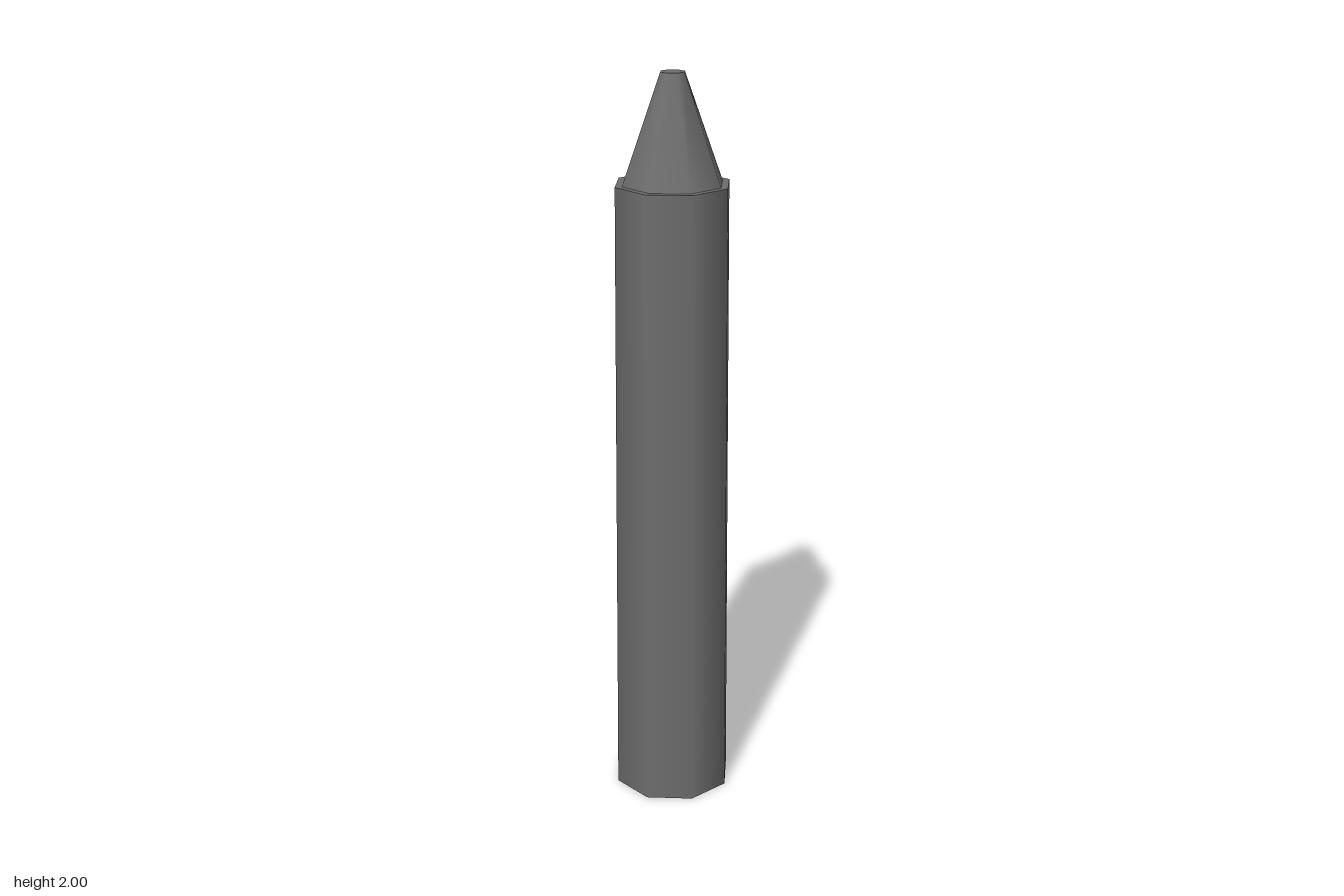
import * as THREE from 'three';

const SIDES = 8;
const BASE_R = 0.164, SHOULDER_R = 0.156, TIP_R = 0.137, POINT_R = 0.033;
const SHOULDER_Y = 1.715, TOP_Y = 2;

export function createModel() {
  const group = new THREE.Group();
  group.name = 'crayon';
  const material = new THREE.MeshStandardMaterial({ color: 0x6e6e6e });

  const add = (name, geometry) => {
    const mesh = new THREE.Mesh(geometry, material);
    mesh.name = name;
    group.add(mesh);
  };

  // Smooth-shaded, open, eight-sided frustum between two heights
  const frustum = (rBottom, rTop, y0, y1) =>
    new THREE.CylinderGeometry(rTop, rBottom, y1 - y0, SIDES, 1, true).translate(0, (y0 + y1) / 2, 0);

  // Flat octagon facing up (dir = 1) or down (dir = -1)
  const disc = (r, y, dir) =>
    new THREE.CircleGeometry(r, SIDES).rotateX(-dir * Math.PI / 2).translate(0, y, 0);

  // Slightly tapered barrel and its base
  add('barrel', frustum(BASE_R, SHOULDER_R, 0, SHOULDER_Y));
  add('base', disc(BASE_R, 0, -1));

  // Flat ledge between barrel and tip
  add('shoulder', new THREE.RingGeometry(TIP_R, SHOULDER_R, SIDES, 1)
    .rotateX(-Math.PI / 2).translate(0, SHOULDER_Y, 0));

  // Conical tip with a blunt end
  add('tip', frustum(TIP_R, POINT_R, SHOULDER_Y, TOP_Y));
  add('tipEnd', disc(POINT_R, TOP_Y, 1));

  return group;
}
